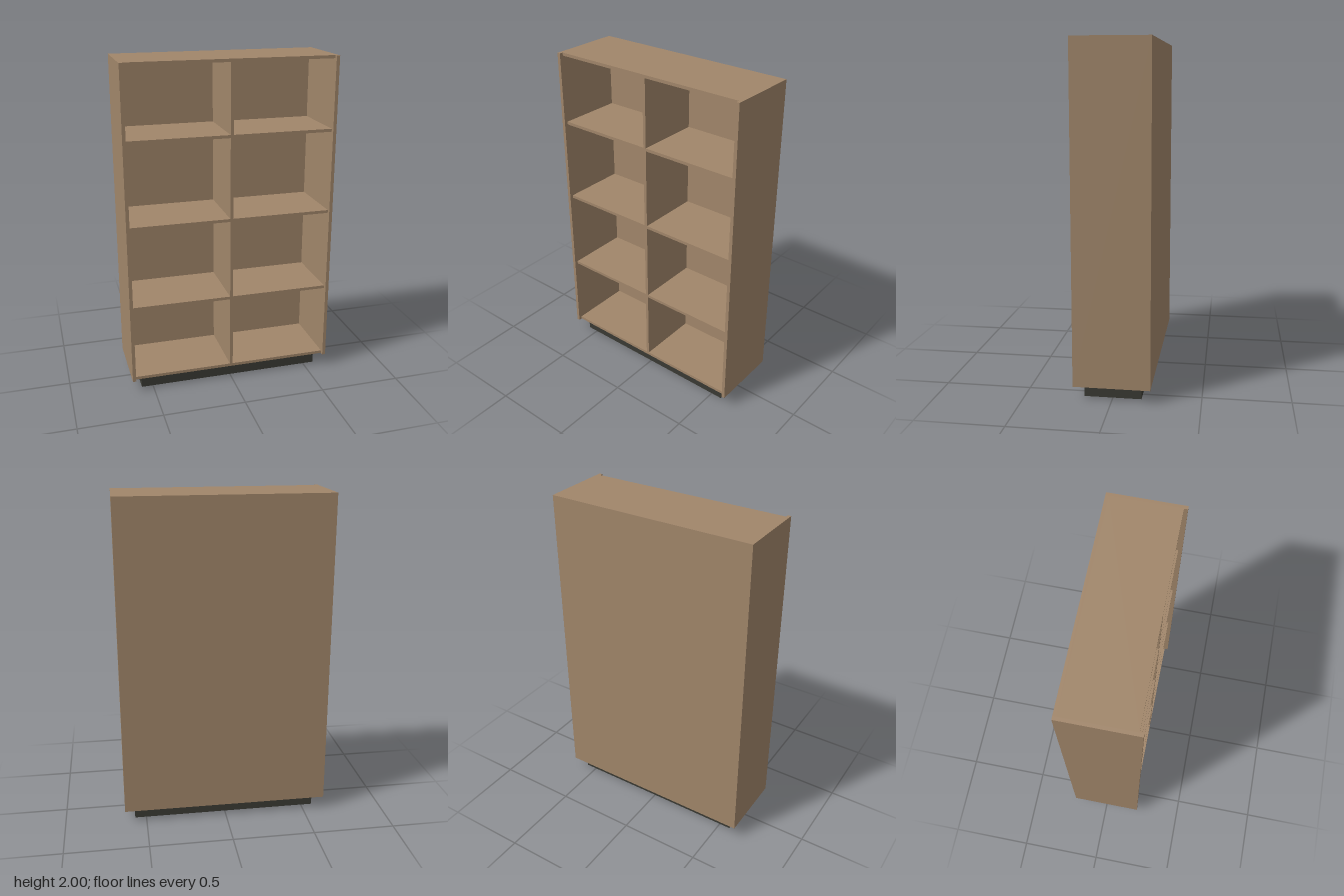
import * as THREE from 'three';

export function createModel() {
  const model = new THREE.Group();
  model.name = 'bookcase';

  const wood = new THREE.MeshStandardMaterial({ color: 0xa1866a });
  wood.name = 'light brown wood';
  const dark = new THREE.MeshStandardMaterial({ color: 0x3a3a33 });
  dark.name = 'dark plinth';

  // Box given by its lower and upper corners
  function panel(name, material, [x0, y0, z0], [x1, y1, z1]) {
    const mesh = new THREE.Mesh(new THREE.BoxGeometry(x1 - x0, y1 - y0, z1 - z0), material);
    mesh.position.set((x0 + x1) / 2, (y0 + y1) / 2, (z0 + z1) / 2);
    mesh.name = name;
    model.add(mesh);
  }

  const bottom = 0.078, top = 2, thick = 0.018;
  const outer = 0.632, inner = 0.612;
  const depth = 0.219, back = -0.2, front = 0.197;

  // Recessed plinth
  panel('plinth', dark, [-0.57, 0, -0.163], [0.57, bottom, 0.163]);

  // Side panels, standing slightly proud of the shelves
  panel('leftSide', wood, [inner, bottom, -depth], [outer, top, depth]);
  panel('rightSide', wood, [-outer, bottom, -depth], [-inner, top, depth]);

  // Back panel between the sides
  panel('backPanel', wood, [-inner, bottom, -depth], [inner, top, back]);

  // Bottom, three shelves and top, with a divider in each gap
  const levels = [bottom, 0.544, 1.048, 1.554, top - thick];
  const names = ['bottomPanel', 'lowerShelf', 'middleShelf', 'upperShelf', 'topPanel'];
  levels.forEach((y, i) => {
    panel(names[i], wood, [-inner, y, back], [inner, y + thick, front]);
    if (i < levels.length - 1) {
      panel('divider' + (i + 1), wood, [-thick / 2, y + thick, back], [thick / 2, levels[i + 1], front]);
    }
  });

  return model;
}
